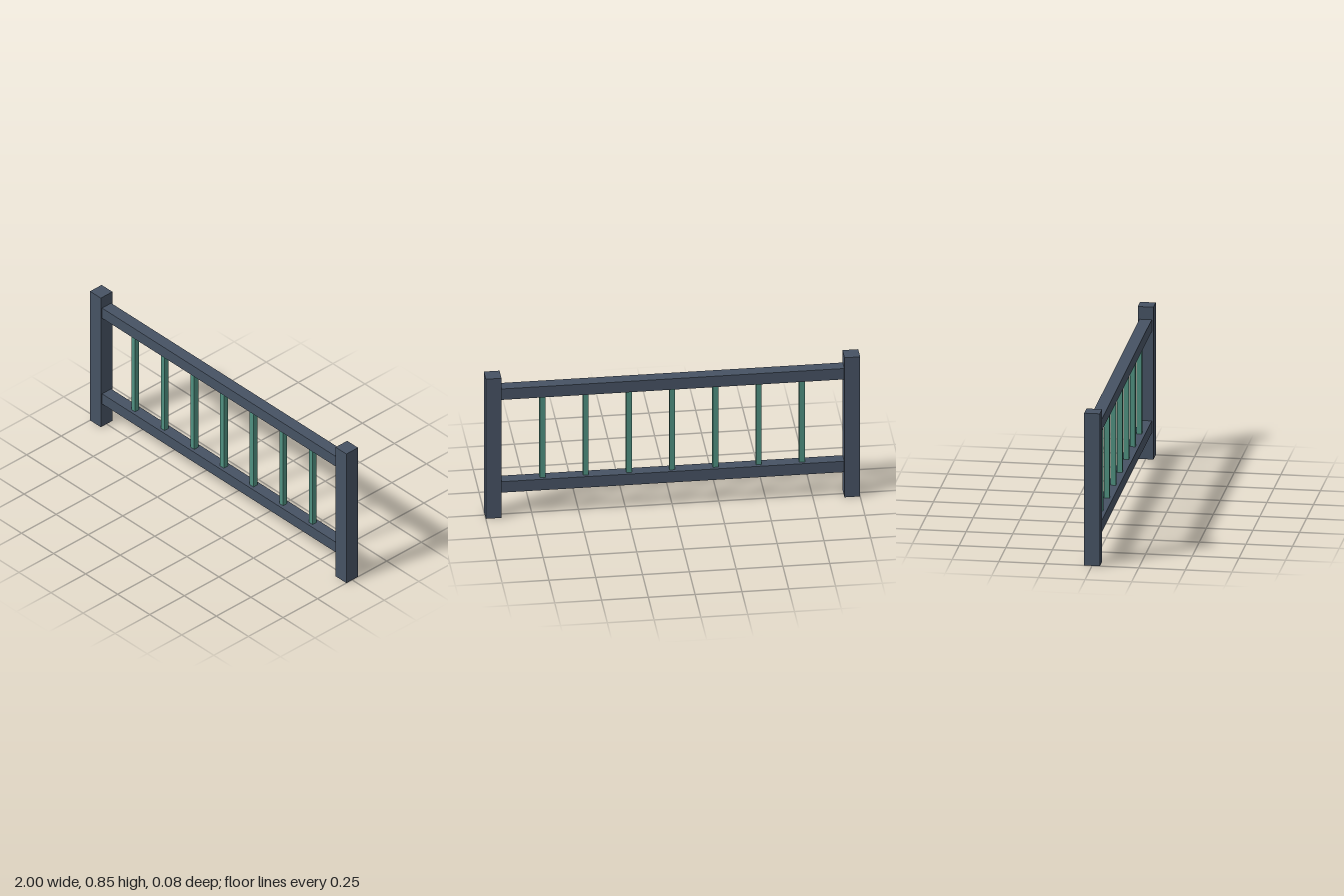
import * as THREE from 'three';

export function createModel() {
  const model = new THREE.Group();
  model.name = 'railing';

  const slate = new THREE.MeshStandardMaterial({ color: 0x465263 });
  slate.name = 'slate frame';
  const green = new THREE.MeshStandardMaterial({ color: 0x4f9080 });
  green.name = 'green bars';

  const POST = 0.084, HEIGHT = 0.846;
  const RAIL = 0.066, LOW = 0.181, HIGH = 0.743;
  const BAR = 0.029, SPACING = 0.231;

  // Box centred on z = 0
  function box(name, w, h, d, x, y, material) {
    const mesh = new THREE.Mesh(new THREE.BoxGeometry(w, h, d), material);
    mesh.name = name;
    mesh.position.set(x, y, 0);
    model.add(mesh);
  }

  // End posts
  for (const side of [-1, 1]) {
    box(side > 0 ? 'leftPost' : 'rightPost', POST, HEIGHT, POST, side * (1 - POST / 2), HEIGHT / 2, slate);
  }

  // Horizontal rails between the posts
  const span = 2 - 2 * POST;
  box('bottomRail', span, RAIL, RAIL, 0, LOW, slate);
  box('topRail', span, RAIL, RAIL, 0, HIGH, slate);

  // Seven upright bars between the rails
  const barHeight = HIGH - LOW - RAIL;
  for (let i = -3; i <= 3; i++) {
    box(`bar${i + 4}`, BAR, barHeight, BAR, i * SPACING, (LOW + HIGH) / 2, green);
  }

  return model;
}
